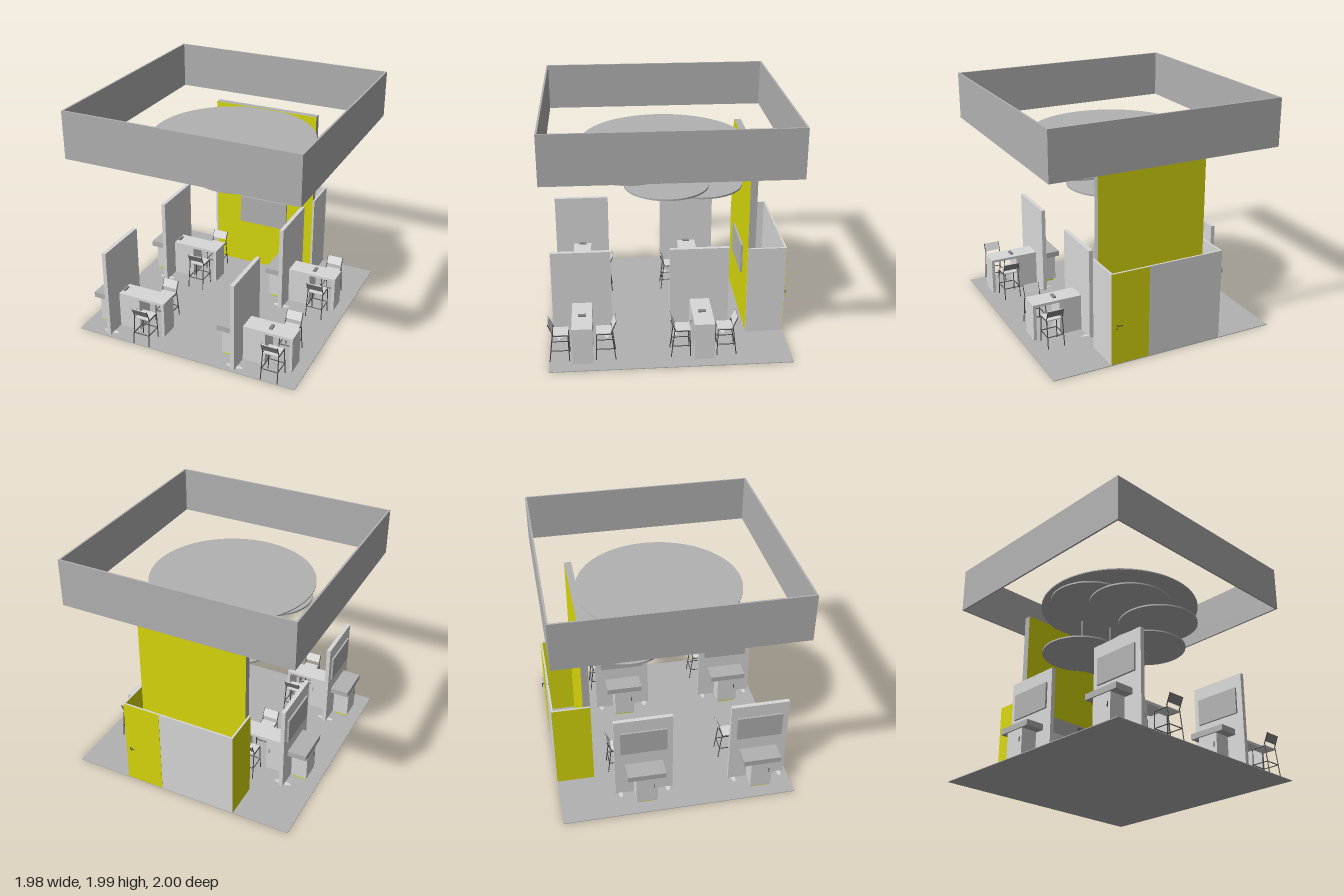
import * as THREE from 'three';

const mat = (name, color, side = THREE.FrontSide) => {
  const m = new THREE.MeshStandardMaterial({ color, side });
  m.name = name;
  return m;
};

export function createModel() {
  const light = mat('light grey', 0xd8d8d8);
  const mid = mat('mid grey', 0xb2b2b2);
  const slate = mat('slate grey', 0x8a8a8a);
  const dark = mat('dark metal', 0x4a4a4a);
  const yellow = mat('yellow', 0xd8d80c);
  const model = new THREE.Group();
  model.name = 'exhibitionStand';
  const CZ = 0.0125, HALF = 0.9875;

  // Box given by its minimum and maximum corners
  function box(parent, name, material, [x0, y0, z0], [x1, y1, z1]) {
    const mesh = new THREE.Mesh(new THREE.BoxGeometry(x1 - x0, y1 - y0, z1 - z0), material);
    mesh.position.set((x0 + x1) / 2, (y0 + y1) / 2, (z0 + z1) / 2);
    mesh.name = name;
    parent.add(mesh);
    return mesh;
  }
  function disc(parent, name, material, r, h, x, y, z, sides = 64) {
    const mesh = new THREE.Mesh(new THREE.CylinderGeometry(r, r, h, sides), material);
    mesh.position.set(x, y, z);
    mesh.name = name;
    parent.add(mesh);
    return mesh;
  }
  // Thin round bar between two points
  function bar(parent, name, a, b, r = 0.004) {
    const p = new THREE.Vector3(...a), q = new THREE.Vector3(...b);
    const mesh = disc(parent, name, dark, r, p.distanceTo(q), 0, 0, 0, 8);
    mesh.position.copy(p).lerp(q, 0.5);
    mesh.quaternion.setFromUnitVectors(new THREE.Vector3(0, 1, 0), q.sub(p).normalize());
    return mesh;
  }

  // Floor
  box(model, 'floor', mid, [-HALF, 0, CZ - HALF], [HALF, 0.006, CZ + HALF]);

  // Hanging square fascia, open above and below
  const square = (s) => [[-s, -s], [s, -s], [s, s], [-s, s]].map((p) => new THREE.Vector2(...p));
  const ring = new THREE.Shape(square(HALF));
  ring.holes.push(new THREE.Path(square(HALF - 0.015)));
  const fascia = new THREE.Mesh(new THREE.ExtrudeGeometry(ring, { depth: 0.4, bevelEnabled: false }), mid);
  fascia.rotation.x = -Math.PI / 2;
  fascia.position.set(0, 1.59, CZ);
  fascia.name = 'fascia';
  model.add(fascia);

  // Ceiling disc with a spiral of six smaller discs on rods
  const canopy = new THREE.Group();
  canopy.name = 'discCanopy';
  model.add(canopy);
  disc(canopy, 'ceilingDisc', mid, 0.69, 0.01, 0, 1.59, CZ, 96);
  for (let i = 0; i < 6; i++) {
    const a = Math.PI - i * Math.PI / 3;
    const x = 0.345 * Math.cos(a), z = CZ + 0.345 * Math.sin(a), y = 1.53 - i * 0.0665;
    disc(canopy, 'hangingDisc', mid, 0.345, 0.014, x, y, z);
    disc(canopy, 'hangingRod', mid, 0.008, 1.588 - y, x, (y + 1.588) / 2, z, 12);
  }

  // Tall back wall with screen
  box(model, 'tallWall', [mid, mid, mid, mid, yellow, yellow], [-0.48, 0.006, -0.715], [0.48, 1.6, -0.655]);
  box(model, 'wallScreen', mid, [-0.232, 0.44, -0.655], [0.23, 0.7, -0.637]);

  // Store room behind the wall
  const zb = CZ - HALF;
  box(model, 'roomLeftWall', [light, yellow, light, light, light, light], [0.48, 0.006, zb], [0.497, 0.79, -0.655]);
  box(model, 'roomRightWall', [light, yellow, light, light, light, light], [-0.497, 0.006, zb], [-0.48, 0.79, -0.655]);
  box(model, 'roomBackWall', light, [-0.48, 0.006, zb], [0.48, 0.79, zb + 0.015]);
  box(model, 'roomDoor', yellow, [0.165, 0.01, zb - 0.003], [0.495, 0.788, zb]);
  for (const [s, z] of [[-1, zb - 0.003], [1, zb + 0.015]]) {
    bar(model, 'doorHandleStem', [0.45, 0.35, z], [0.45, 0.35, z + s * 0.02]);
    bar(model, 'doorHandle', [0.452, 0.35, z + s * 0.019], [0.41, 0.35, z + s * 0.019]);
    box(model, 'doorLock', dark, [0.445, 0.31, z - 0.002], [0.455, 0.325, z + 0.002]);
  }

  // Bar chair facing -z, with its back at +z
  function chair() {
    const g = new THREE.Group();
    g.name = 'barChair';
    box(g, 'seat', light, [-0.064, 0.238, 0.112], [0.064, 0.248, 0.235]);
    const back = new THREE.Group();
    back.name = 'backrest';
    back.position.set(0, 0.313, 0.256);
    back.rotation.x = 0.46;
    box(back, 'backrestFront', light, [-0.066, -0.036, -0.004], [0.066, 0.036, 0.001]);
    box(back, 'backrestRear', slate, [-0.066, -0.036, 0.001], [0.066, 0.036, 0.005]);
    g.add(back);
    for (const s of [-1, 1]) {
      bar(g, 'frontLeg', [s * 0.068, 0.24, 0.115], [s * 0.072, 0.006, 0.108]);
      bar(g, 'rearLeg', [s * 0.068, 0.255, 0.237], [s * 0.072, 0.006, 0.267]);
      bar(g, 'seatRail', [s * 0.068, 0.24, 0.115], [s * 0.068, 0.24, 0.238]);
      bar(g, 'backPost', [s * 0.068, 0.25, 0.232], [s * 0.068, 0.346, 0.272]);
      bar(g, 'sideStretcher', [s * 0.07, 0.105, 0.111], [s * 0.07, 0.105, 0.255]);
    }
    bar(g, 'footRest', [-0.07, 0.105, 0.111], [0.07, 0.105, 0.111]);
    bar(g, 'rearStretcher', [-0.07, 0.105, 0.255], [0.07, 0.105, 0.255]);
    return g;
  }

  // Work station: partition with screen and counter on one side, table and chairs on the other
  function station(x, z, deviceX) {
    const g = new THREE.Group();
    g.name = 'workStation';
    g.position.set(x, 0, z);
    box(g, 'partition', light, [-0.0175, 0.006, -0.247], [0.0175, 0.79, 0.247]);
    for (const s of [-1, 1]) {
      disc(g, 'partitionFoot', light, 0.075, 0.004, 0, 0.008, s * 0.203, 32).scale.z = 0.27;
    }
    box(g, 'screen', mid, [-0.034, 0.455, -0.195], [-0.0175, 0.675, 0.195]);
    box(g, 'counterTop', mid, [-0.18, 0.28, -0.16], [-0.0175, 0.328, 0.16]);
    box(g, 'cabinet', light, [-0.168, 0.025, -0.09], [-0.028, 0.28, 0.09]);
    box(g, 'cabinetPlinth', yellow, [-0.155, 0.006, -0.08], [-0.04, 0.025, 0.08]);
    box(g, 'cabinetHandle', dark, [-0.173, 0.17, 0.06], [-0.168, 0.21, 0.066]);
    // Table
    box(g, 'tableTop', light, [0.0175, 0.303, -0.083], [0.447, 0.325, 0.083]);
    box(g, 'tableCupboard', light, [0.0175, 0.006, -0.083], [0.212, 0.303, 0.083]);
    box(g, 'tableEndLeg', light, [0.421, 0.006, -0.083], [0.447, 0.303, 0.083]);
    for (const s of [-1, 1]) {
      box(g, 'cupboardHandle', slate, [0.183, 0.175, s * 0.085 - 0.003], [0.188, 0.22, s * 0.085 + 0.003]);
    }
    box(g, 'tableDevice', slate, [deviceX - 0.014, 0.325, -0.032], [deviceX + 0.014, 0.338, 0.032]);
    // Pair of chairs facing each other across the table
    for (const turn of [0, Math.PI]) {
      const c = chair();
      c.position.x = 0.326;
      c.rotation.y = turn;
      g.add(c);
    }
    model.add(g);
  }
  for (const z of [0.727, -0.257]) {
    station(-0.715, z, 0.035);
    station(0.441, z, 0.235);
  }
  return model;
}
